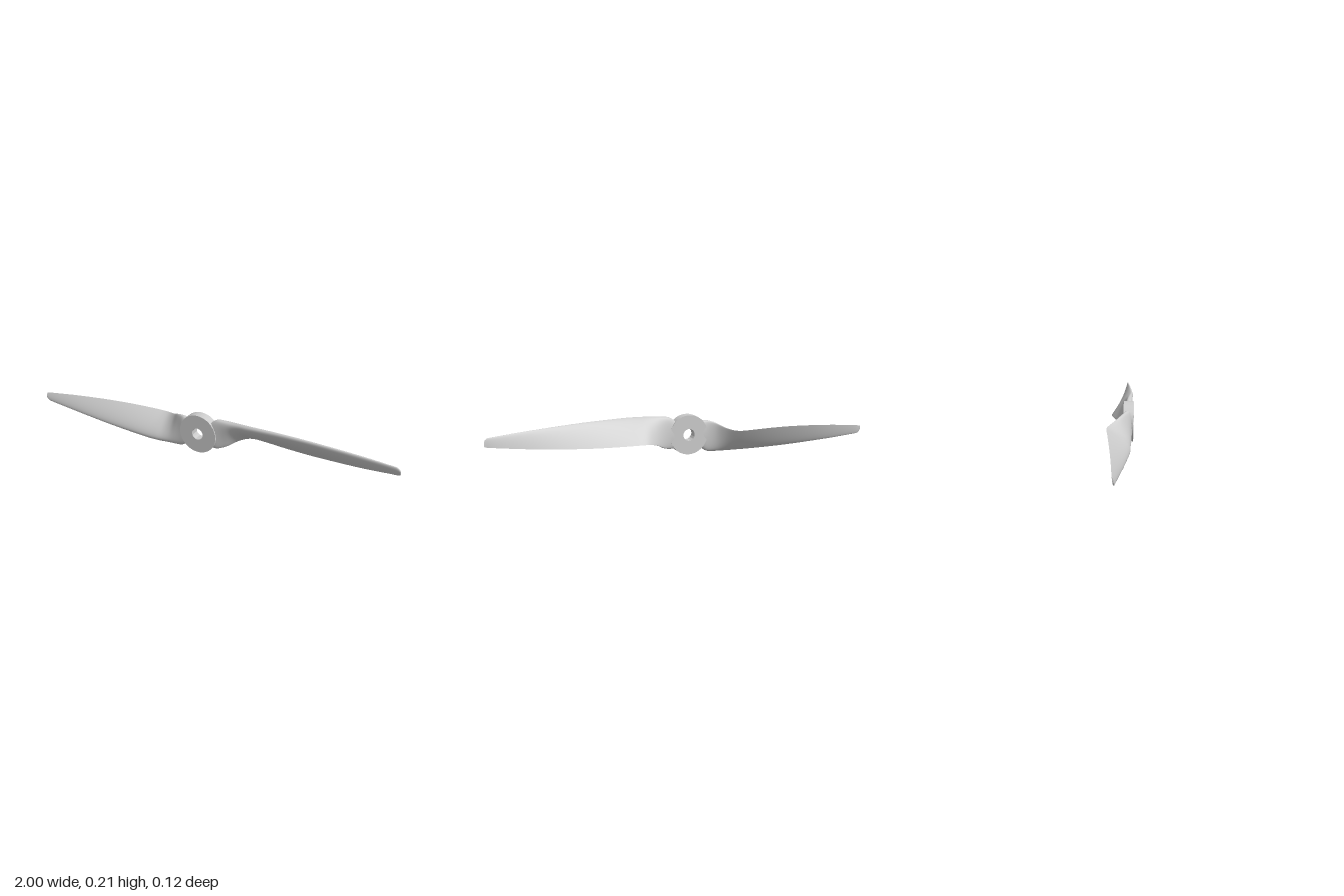
import * as THREE from 'three';
import { toCreasedNormals } from 'three/addons/utils/BufferGeometryUtils.js';

const material = new THREE.MeshStandardMaterial({ color: 0xcccccc });
const AXIS_Y = 0.11;

// Blade stations: x, leading edge y z, trailing edge y z, thickness, root bluntness
const STATIONS = [
  [0.07, 0.185, 0.033, 0.045, 0.030, 0.042, 1],
  [0.10, 0.204, 0.033, 0.044, 0.024, 0.042, 0.9],
  [0.14, 0.209, 0.035, 0.056, 0.002, 0.040, 0.6],
  [0.18, 0.211, 0.038, 0.078, -0.029, 0.036, 0.3],
  [0.22, 0.213, 0.041, 0.091, -0.053, 0.033, 0.1],
  [0.26, 0.214, 0.043, 0.095, -0.062, 0.031, 0],
  [0.32, 0.215, 0.041, 0.095, -0.060, 0.028, 0],
  [0.45, 0.213, 0.032, 0.095, -0.049, 0.023, 0],
  [0.60, 0.207, 0.023, 0.100, -0.036, 0.018, 0],
  [0.80, 0.194, 0.011, 0.114, -0.019, 0.013, 0],
  [0.95, 0.181, 0.004, 0.130, -0.008, 0.008, 0],
  [0.985, 0.176, 0.002, 0.134, -0.005, 0.007, 0],
  [1.00, 0.162, 0.001, 0.138, -0.004, 0.005, 0],
];

function bladeGeometry() {
  const curve = (f) => new THREE.CatmullRomCurve3(STATIONS.map(f), false, 'catmullrom', 0.5);
  const leading = curve((s) => new THREE.Vector3(s[0], s[1] - AXIS_Y, s[2]));
  const trailing = curve((s) => new THREE.Vector3(s[0], s[3] - AXIS_Y, s[4]));
  const section = curve((s) => new THREE.Vector3(s[0], s[5], s[6]));
  const rows = 72, cols = 40, pos = [], index = [];

  // Airfoil loops from trailing edge over the front to the nose and back behind
  for (let i = 0; i <= rows; i++) {
    const t = i / rows;
    const L = leading.getPoint(t), T = trailing.getPoint(t), S = section.getPoint(t);
    const dy = T.y - L.y, dz = T.z - L.z, c = Math.hypot(dy, dz);
    const blunt = THREE.MathUtils.clamp(S.z, 0, 1);
    for (let j = 0; j <= cols; j++) {
      const a = Math.PI * (1 - 2 * j / cols), b = Math.abs(a);
      const u = (1 - Math.cos(b)) / 2;
      const foil = 2.6 * Math.pow(Math.sin(b / 2), 0.85) * Math.cos(b / 2) ** 2;
      const round = Math.pow(Math.max(Math.sin(b), 0), 0.6);
      const share = a > 0 ? THREE.MathUtils.lerp(0.7, 0.5, blunt) : -THREE.MathUtils.lerp(0.3, 0.5, blunt);
      const h = S.y * share * THREE.MathUtils.lerp(foil, round, blunt);
      pos.push(L.x, L.y + dy * u + (dz / c) * h, L.z + dz * u - (dy / c) * h);
    }
  }
  const w = cols + 1;
  for (let i = 0; i < rows; i++) {
    for (let j = 0; j < cols; j++) {
      const a = i * w + j, b = a + w;
      index.push(a, b, b + 1, a, b + 1, a + 1);
    }
  }

  // Flat caps at root and tip
  for (const row of [0, rows]) {
    const start = pos.length / 3;
    for (let j = 0; j < cols; j++) {
      const k = (row * w + j) * 3;
      pos.push(pos[k], pos[k + 1], pos[k + 2]);
    }
    for (let j = 1; j < cols - 1; j++) {
      if (row === 0) index.push(start, start + j, start + j + 1);
      else index.push(start, start + j + 1, start + j);
    }
  }
  const g = new THREE.BufferGeometry();
  g.setAttribute('position', new THREE.Float32BufferAttribute(pos, 3));
  g.setIndex(index);
  g.computeVertexNormals();
  return g;
}

export function createModel() {
  const model = new THREE.Group();
  model.name = 'propeller';

  // Hub disc with shaft hole
  const disc = new THREE.Shape().absarc(0, 0, 0.1, 0, Math.PI * 2, false);
  disc.holes.push(new THREE.Path().absarc(0, 0, 0.03, 0, Math.PI * 2, true));
  const hubGeometry = new THREE.ExtrudeGeometry(disc, { depth: 0.046, bevelEnabled: false, curveSegments: 48 });
  const hub = new THREE.Mesh(toCreasedNormals(hubGeometry, 0.6), material);
  hub.name = 'hub';
  hub.position.set(0, AXIS_Y, 0.01);
  model.add(hub);

  // Two blades, half a turn apart
  const geometry = bladeGeometry();
  ['leftBlade', 'rightBlade'].forEach((name, i) => {
    const blade = new THREE.Mesh(geometry, material);
    blade.name = name;
    blade.position.y = AXIS_Y;
    blade.rotation.z = i * Math.PI;
    model.add(blade);
  });
  return model;
}
